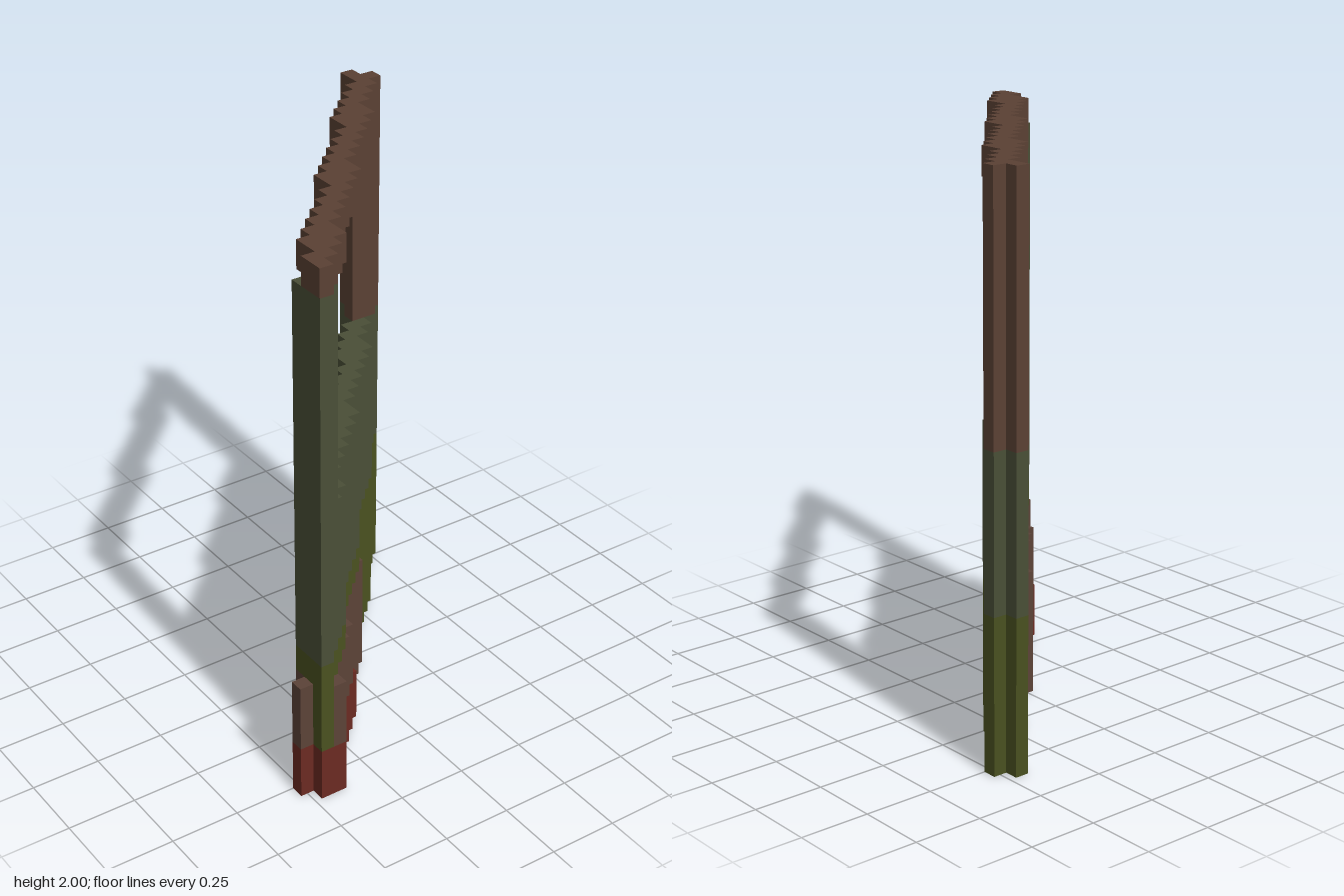
import * as THREE from 'three';
import { mergeGeometries } from 'three/addons/utils/BufferGeometryUtils.js';

const CELL = 0.05;

function material(name, color) {
  const m = new THREE.MeshStandardMaterial({ color });
  m.name = name;
  return m;
}

// Cells [row, column] of the full-height diagonal panel; rows run back to front
function panelCells() {
  const cells = [];
  for (let r = 0; r < 24; r++) {
    const start = 20 - r + Math.floor(r / 7);
    const count = r % 7 === 6 ? 3 : 2;
    if (r === 0) cells.push([0, 19]);
    else if (r === 23) cells.push([23, 1]);
    else for (let i = 0; i < count; i++) cells.push([r, r === 7 || r === 14 || r === 21 || r > 0 ? start + i : start]);
  }
  return cells;
}

export function createModel() {
  const group = new THREE.Group();
  const frameBrown = material('frame brown', 0x5b4134);
  const rustBrown = material('rust brown', 0x5c4338);
  const rustRed = material('rust red', 0x6c2b22);
  const olive = material('olive green', 0x4a5120);
  const darkGreen = material('dark grey green', 0x4a4f37);

  // One merged mesh made of upright square columns from y0 to y1
  function addPart(name, mat, cells, y0, y1) {
    const boxes = cells.map(([r, c]) =>
      new THREE.BoxGeometry(CELL, y1 - y0, CELL)
        .translate((c - 10) * CELL, (y0 + y1) / 2, (r - 11.5) * CELL));
    const mesh = new THREE.Mesh(mergeGeometries(boxes), mat);
    mesh.name = name;
    group.add(mesh);
  }

  const panel = panelCells();
  const tip = ([r]) => r === 23;
  const outerPost = [[21, 1]];

  // Flakes of rust standing proud of the panel
  const flakes = [[10, 10], [12, 11], [14, 7], [15, 6], [16, 5], [17, 4],
    [18, 6], [19, 5], [22, 0], [23, 2]];
  const lowFlakes = [[17, 7], [18, 3]];

  const clean = panel.filter(([r]) => r < 11);
  const rusty = panel.filter((p) => p[0] >= 11 && !tip(p)).concat(outerPost);
  const corner = panel.filter(tip);
  const isRed = ([r]) => r >= 16;

  // Lower panel
  addPart('lowerPanel', olive, clean, 0, 0.55);
  addPart('lowerPanelAboveRust', olive, rusty, 0.45, 0.55);
  addPart('lowerPanelCorner', olive, corner, 0.2, 0.55);

  // Rust patches
  const patch = rusty.concat(flakes);
  addPart('brownRust', rustBrown, patch.filter((p) => !isRed(p)), 0, 0.45);
  addPart('brownRustAboveRed', rustBrown, patch.filter(isRed), 0.2, 0.45);
  addPart('redRust', rustRed, patch.filter(isRed).concat(corner, lowFlakes), 0, 0.2);

  // Middle panel up to the window sill
  addPart('middlePanel', darkGreen, panel.concat(outerPost), 0.55, 1.1);

  // Window frame: green post at the front end, brown post at the back end, brown top rail
  const frontPost = panel.filter(([r, c]) => r >= 21 && c <= 2).concat(outerPost);
  const backPost = panel.filter(([r]) => r <= 2);
  addPart('frontWindowPost', darkGreen, frontPost, 1.1, 1.9);
  addPart('backWindowPost', frameBrown, backPost, 1.1, 1.9);
  addPart('topRail', frameBrown, panel, 1.9, 2);

  return group;
}
